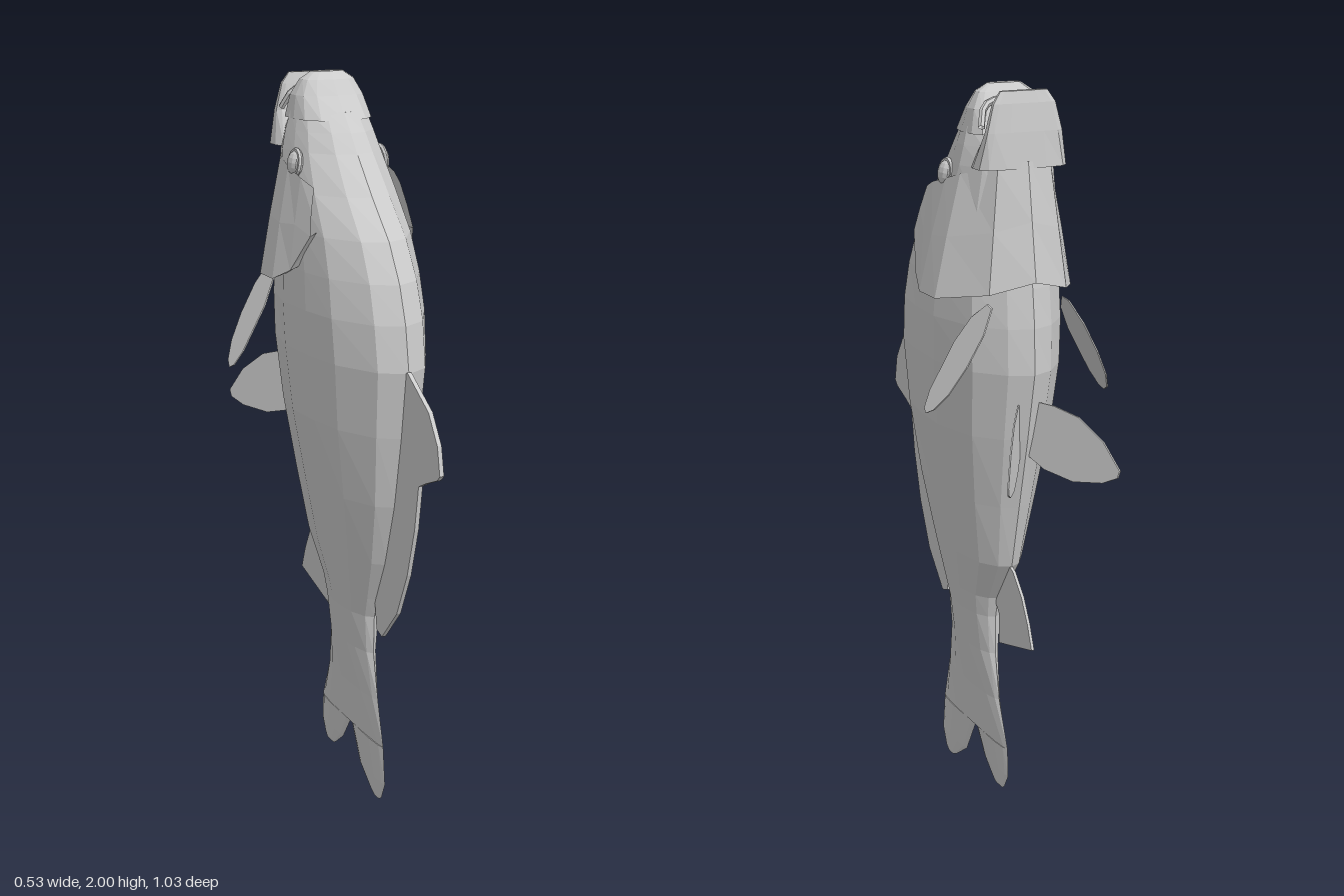
import * as THREE from 'three';

const material = new THREE.MeshStandardMaterial({ color: 0xcccccc, flatShading: true, side: THREE.DoubleSide });

// Half cross-sections: [share of half width, share of depth from back to belly]
const BODY = [[0, 0], [0.42, 0.06], [0.82, 0.24], [0.95, 0.42], [1, 0.62], [0.78, 0.85], [0.38, 0.96], [0, 1]];
const SNOUT = [[0, 0], [0.6, 0.07], [0.9, 0.25], [1, 0.5], [1, 0.8], [0.85, 0.95], [0.45, 1], [0, 1]];
const BLADE = [[0, 0], [0.6, 0.1], [1, 0.35], [1, 0.65], [0.6, 0.9], [0, 1]];

function mesh(name, geometry) {
  const m = new THREE.Mesh(geometry, material);
  m.name = name;
  return m;
}

// Skin over rows of points, running downwards; closed rows also get end caps
function skin(rows, closed) {
  const n = rows[0].length, pos = rows.flat(2), idx = [];
  for (let i = 0; i < rows.length - 1; i++) {
    for (let j = 0; j < (closed ? n : n - 1); j++) {
      const k = (j + 1) % n, a = i * n, b = a + n;
      idx.push(a + j, b + j, b + k, a + j, b + k, a + k);
    }
  }
  if (closed) {
    const last = (rows.length - 1) * n;
    for (let j = 1; j < n - 1; j++) idx.push(0, j, j + 1, last, last + j + 1, last + j);
  }
  const g = new THREE.BufferGeometry();
  g.setAttribute('position', new THREE.Float32BufferAttribute(pos, 3));
  g.setIndex(idx);
  g.computeVertexNormals();
  return g;
}

// Loft through sections [y, back z, belly z, half width]
function loft(sections, half) {
  const mirrored = half.slice(1, -1).reverse().map(([x, u]) => [-x, u]);
  const ring = [...half, ...mirrored];
  return skin(sections.map(([y, z0, z1, w]) => ring.map(([x, u]) => [x * w, y, z0 + (z1 - z0) * u])), true);
}

// Thin fin outlined in [z, y]; bend gives its x at each point
function fin(name, outline, thickness, bend = () => 0) {
  const shape = new THREE.Shape(outline.map(([z, y]) => new THREE.Vector2(z, y)));
  const g = new THREE.ExtrudeGeometry(shape, { depth: thickness, bevelEnabled: false });
  const p = g.attributes.position;
  for (let i = 0; i < p.count; i++) {
    const z = p.getX(i), y = p.getY(i), d = p.getZ(i);
    p.setXYZ(i, thickness / 2 - d + bend(z, y), y, z);
  }
  // Turn the faces outwards after the axis swap when needed
  g.computeVertexNormals();
  return mesh(name, g);
}

export function createModel() {
  const fish = new THREE.Group();
  fish.name = 'fish';

  // Body and forked tail
  fish.add(mesh('body', loft([
    [1.9, -0.065, -0.25, 0.104], [1.85, -0.02, -0.285, 0.117], [1.8, 0.02, -0.305, 0.128],
    [1.7, 0.11, -0.315, 0.144], [1.6, 0.21, -0.325, 0.153], [1.5, 0.272, -0.34, 0.16],
    [1.4, 0.308, -0.352, 0.165], [1.28, 0.328, -0.355, 0.162], [1.1, 0.303, -0.32, 0.147],
    [0.9, 0.265, -0.275, 0.116], [0.72, 0.21, -0.235, 0.083], [0.6, 0.155, -0.155, 0.059],
    [0.54, 0.13, -0.14, 0.049], [0.43, 0.126, -0.14, 0.034], [0.3, 0.155, -0.165, 0.02],
    [0.17, 0.19, -0.217, 0.01],
  ], BODY)));
  fish.add(mesh('upperTailLobe', loft([
    [0.17, 0.19, -0.02, 0.01], [0.06, 0.202, 0.04, 0.006], [0.01, 0.18, 0.11, 0.003], [0, 0.165, 0.13, 0.002],
  ], BLADE)));
  fish.add(mesh('lowerTailLobe', loft([
    [0.17, -0.02, -0.217, 0.01], [0.09, -0.075, -0.222, 0.006], [0.05, -0.125, -0.2, 0.003], [0.04, -0.14, -0.19, 0.002],
  ], BLADE)));

  // Snout, lower jaw and lip around the open mouth
  fish.add(mesh('snout', loft([
    [2, -0.155, -0.185, 0.045], [1.98, -0.13, -0.2, 0.075], [1.94, -0.1, -0.225, 0.096],
    [1.88, -0.05, -0.25, 0.108],
  ], SNOUT)));
  fish.add(mesh('lowerJaw', loft([
    [1.99, -0.268, -0.288, 0.065], [1.96, -0.262, -0.295, 0.086], [1.89, -0.25, -0.302, 0.104],
    [1.8, -0.18, -0.307, 0.122],
  ], SNOUT)));
  const lip = new THREE.CatmullRomCurve3([
    [-0.1, 1.9, -0.25], [-0.075, 1.95, -0.22], [0, 1.965, -0.21], [0.075, 1.95, -0.22], [0.1, 1.9, -0.25],
  ].map(p => new THREE.Vector3(...p)));
  fish.add(mesh('upperLip', new THREE.TubeGeometry(lip, 12, 0.009, 6)));

  // Flared gill cover wrapped under the head, with a turned-in rear edge
  const wrap = half => [...half, ...half.slice(0, -1).reverse().map(([x, y, z]) => [-x, y, z])];
  const front = [[0.125, 1.72, 0.02], [0.137, 1.74, -0.04], [0.138, 1.76, -0.12], [0.13, 1.78, -0.19], [0.075, 1.8, -0.29], [0, 1.82, -0.31]];
  const edge = [[0.15, 1.6, 0.05], [0.178, 1.5, -0.02], [0.2, 1.467, -0.09], [0.198, 1.465, -0.18], [0.11, 1.49, -0.315], [0, 1.52, -0.357]];
  const middle = front.map((p, i) => p.map((v, k) => (v + edge[i][k]) / 2 + (k === 0 && i < 4 ? 0.002 : 0)));
  const inner = edge.map(([x, y, z]) => [x * 0.7, y + 0.02, z * 0.9]);
  fish.add(mesh('gillCover', skin([front, middle, edge, inner].map(wrap), false)));

  // Fins on the centre line
  fish.add(fin('dorsalFin', [
    [0.33, 1.285], [0.45, 1.21], [0.5, 1.135], [0.515, 1.06], [0.5, 1.045], [0.44, 1.02], [0.4, 1],
    [0.38, 0.875], [0.34, 0.735], [0.28, 0.605], [0.19, 0.505], [0.157, 0.515], [0.147, 0.585],
    [0.1, 0.6], [0.2, 0.9], [0.27, 1.25],
  ], 0.012));
  fish.add(fin('analFin', [
    [-0.23, 0.72], [-0.25, 0.71], [-0.3, 0.655], [-0.335, 0.59], [-0.36, 0.525], [-0.17, 0.475],
    [-0.17, 0.56], [-0.145, 0.59], [-0.12, 0.62],
  ], 0.008));

  // Paired fins and eyes
  for (const [side, s] of [['left', 1], ['right', -1]]) {
    fish.add(fin(side + 'PectoralFin', [
      [-0.3, 1.465], [-0.255, 1.425], [-0.23, 1.36], [-0.226, 1.24], [-0.24, 1.2], [-0.26, 1.19],
      [-0.29, 1.205], [-0.325, 1.25], [-0.347, 1.32], [-0.352, 1.4], [-0.33, 1.46],
    ], 0.004, (z, y) => s * (0.16 + (1.37 - y) * 0.56)));
    fish.add(fin(side + 'PelvicFin', [
      [-0.31, 1.2], [-0.36, 1.195], [-0.42, 1.175], [-0.48, 1.12], [-0.52, 1.05], [-0.515, 1.03],
      [-0.48, 1.01], [-0.41, 1], [-0.34, 1.02], [-0.3, 1.05],
    ], 0.004, z => s * (0.04 + (-z - 0.34) * 0.667)));

    const eye = new THREE.Group();
    eye.name = side + 'Eye';
    const ball = mesh('eyeball', new THREE.SphereGeometry(0.033, 12, 8));
    ball.scale.x = 0.6;
    const rim = mesh('eyeRim', new THREE.TorusGeometry(0.034, 0.007, 6, 14));
    rim.rotation.y = Math.PI / 2;
    eye.add(ball, rim);
    eye.position.set(s * 0.126, 1.77, -0.1);
    eye.rotation.z = s * 0.15;
    fish.add(eye);
  }
  return fish;
}
